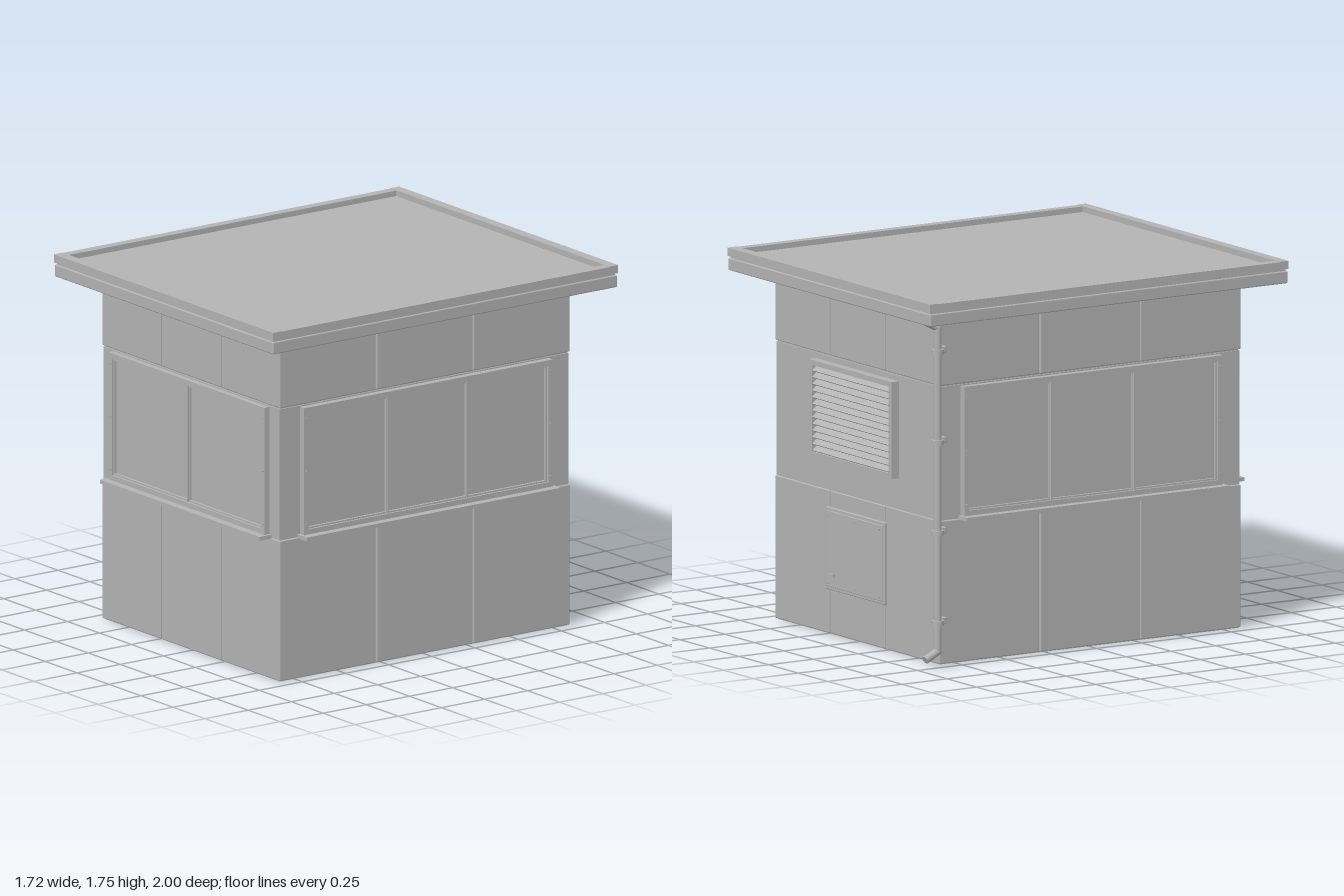
import * as THREE from 'three';
import { RoundedBoxGeometry } from 'three/addons/geometries/RoundedBoxGeometry.js';

const grey = new THREE.MeshStandardMaterial({ color: 0xb3b3b3 });
grey.name = 'plain grey';

function add(parent, name, geometry, x = 0, y = 0, z = 0) {
  const mesh = new THREE.Mesh(geometry, grey);
  mesh.name = name;
  mesh.position.set(x, y, z);
  parent.add(mesh);
  return mesh;
}

// Box given by its lower and upper corners
function box(parent, name, a, b, radius = 0) {
  const s = a.map((v, i) => b[i] - v);
  const c = a.map((v, i) => (b[i] + v) / 2);
  const geometry = radius ? new RoundedBoxGeometry(...s, 2, radius) : new THREE.BoxGeometry(...s);
  return add(parent, name, geometry, ...c);
}

// Rectangular frame facing +z, with its back at z = 0
function frameGeometry(w, h, border, depth) {
  const rect = (P, a, b) => new P([[-a, -b], [a, -b], [a, b], [-a, b]].map(p => new THREE.Vector2(...p)));
  const shape = rect(THREE.Shape, w / 2, h / 2);
  shape.holes.push(rect(THREE.Path, w / 2 - border, h / 2 - border));
  return new THREE.ExtrudeGeometry(shape, { depth, bevelEnabled: false });
}

function screw(parent, x, y, z) {
  add(parent, 'screw', new THREE.CylinderGeometry(0.005, 0.005, 0.006, 8), x, y, z).rotation.x = Math.PI / 2;
}

// Window band with divided panes and a projecting sill, facing +z
function makeWindow(name, width, count) {
  const g = new THREE.Group();
  g.name = name;
  const y = 1.003, h = 0.615, border = 0.026;
  add(g, 'windowFrame', frameGeometry(width, h, border, 0.03), 0, y, 0);
  const inner = width - 2 * border, step = inner / count;
  for (let i = 0; i < count; i++) {
    const x = -inner / 2 + (i + 0.5) * step;
    box(g, 'pane', [x - step / 2, y - h / 2 + border, -0.002], [x + step / 2, y + h / 2 - border, 0.008]);
    add(g, 'paneTrim', frameGeometry(step, h - 2 * border, 0.008, 0.014), x, y, 0.006);
    if (i) box(g, 'mullion', [x - step / 2 - 0.004, y - h / 2 + border, 0], [x - step / 2 + 0.004, y + h / 2 - border, 0.026]);
  }
  for (const s of [-1, 1])
    for (const sy of [0.75, 1.003, 1.26]) screw(g, s * (width / 2 - 0.013), sy, 0.031);
  box(g, 'windowSill', [-width / 2 - 0.015, 0.679, -0.01], [width / 2 + 0.015, 0.697, 0.07]);
  return g;
}

function makeBody() {
  const g = new THREE.Group();
  g.name = 'body';
  box(g, 'core', [-0.684, 0, -0.832], [0.684, 1.65, 0.832]);
  box(g, 'middleWall', [-0.69, 0.684, -0.837], [0.69, 1.316, 0.837]);
  // Cladding panels: a ring of blocks with narrow joints, below and above the windows
  const xs = [-0.695, -0.235, 0.235, 0.695], zs = [-0.84, -0.28, 0.28, 0.84], gap = 0.003;
  for (const [y0, y1] of [[0.004, 0.681], [1.322, 1.64]])
    for (let i = 0; i < 3; i++)
      for (let k = 0; k < 3; k++) {
        if (i === 1 && k === 1) continue;
        box(g, 'wallPanel',
          [xs[i] + (i ? gap : 0), y0, zs[k] + (k ? gap : 0)],
          [xs[i + 1] - (i < 2 ? gap : 0), y1, zs[k + 1] - (k < 2 ? gap : 0)], 0.005);
      }
  return g;
}

function makeRoof() {
  const g = new THREE.Group();
  g.name = 'roof';
  box(g, 'fascia', [-0.855, 1.643, -0.997], [0.855, 1.702, 0.997], 0.006);
  box(g, 'roofJoint', [-0.848, 1.69, -0.99], [0.848, 1.715, 0.99]);
  box(g, 'roofDeck', [-0.83, 1.7, -0.97], [0.83, 1.722, 0.97]);
  for (const s of [-1, 1]) {
    box(g, 'endRim', [-0.858, 1.711, s * 0.975 - 0.025], [0.858, 1.75, s * 0.975 + 0.025]);
    box(g, 'sideRim', [s * 0.835 - 0.023, 1.711, -0.95], [s * 0.835 + 0.023, 1.748, 0.95]);
  }
  return g;
}

// Louvred vent, facing +z
function makeVent() {
  const g = new THREE.Group();
  g.name = 'vent';
  const w = 0.7, h = 0.46, count = 13;
  add(g, 'ventFrame', frameGeometry(w, h, 0.025, 0.04), 0, 1.06, 0);
  for (let i = 0; i < count; i++) {
    const y = 1.06 - h / 2 + 0.025 + (i + 0.5) * (h - 0.05) / count;
    add(g, 'ventSlat', new THREE.BoxGeometry(w - 0.045, 0.005, 0.038), 0, y, 0.022).rotation.x = 0.65;
  }
  return g;
}

// Service hatch, facing +z
function makeHatch() {
  const g = new THREE.Group();
  g.name = 'hatch';
  box(g, 'hatchFrame', [-0.25, 0.215, -0.005], [0.25, 0.605, 0.014], 0.004);
  box(g, 'hatchDoor', [-0.235, 0.23, 0], [0.235, 0.59, 0.019], 0.003);
  for (const x of [-0.215, 0, 0.215])
    for (const y of [0.25, 0.57]) screw(g, x, y, 0.02);
  box(g, 'hatchLatch', [-0.215, 0.28, 0.015], [-0.165, 0.295, 0.026]);
  return g;
}

function makeDrainpipe() {
  const g = new THREE.Group();
  g.name = 'drainpipe';
  const x = -0.755, z = -0.89;
  // Straight runs joined into one bent path
  const path = new THREE.CurvePath();
  const pts = [[-0.725, 1.66, -0.97], [x, 1.615, z], [x, 0.08, z], [x, 0.045, -0.96]].map(p => new THREE.Vector3(...p));
  for (let i = 0; i < 3; i++) {
    const dir = pts[i + 1].clone().sub(pts[i]), len = dir.length();
    const mid = pts[i].clone().add(pts[i + 1]).multiplyScalar(0.5);
    const run = add(g, 'pipeRun', new THREE.CylinderGeometry(0.019, 0.019, len, 16), mid.x, mid.y, mid.z);
    run.quaternion.setFromUnitVectors(new THREE.Vector3(0, 1, 0), dir.normalize());
    if (i) add(g, 'pipeElbow', new THREE.SphereGeometry(0.019, 16, 10), pts[i].x, pts[i].y, pts[i].z);
  }
  // Clamps with arms reaching the corner of the wall
  for (const y of [0.215, 0.642, 1.07, 1.5]) {
    add(g, 'pipeClamp', new THREE.CylinderGeometry(0.029, 0.029, 0.024, 16), x, y, z);
    const arm = add(g, 'clampArm', new THREE.BoxGeometry(0.085, 0.024, 0.022), x + 0.034, y, z + 0.028);
    arm.rotation.y = -0.68;
    box(g, 'clampFoot', [-0.725, y - 0.015, -0.86], [-0.685, y + 0.015, -0.82], 0.004);
  }
  return g;
}

export function createModel() {
  const model = new THREE.Group();
  model.name = 'kiosk';
  model.add(makeBody(), makeRoof(), makeDrainpipe());

  const front = makeWindow('frontWindow', 1.22, 2);
  front.position.z = 0.836;
  model.add(front);
  for (const s of [-1, 1]) {
    const side = makeWindow(s > 0 ? 'leftWindow' : 'rightWindow', 1.44, 3);
    side.position.x = s * 0.694;
    side.rotation.y = s * Math.PI / 2;
    // Backing that fills behind the side window frame
    box(side, 'windowBacking', [-0.72, 0.7, -0.02], [0.72, 1.31, 0.002]);
    model.add(side);
  }

  for (const part of [makeVent(), makeHatch()]) {
    part.position.z = -0.84;
    part.rotation.y = Math.PI;
    model.add(part);
  }
  return model;
}
